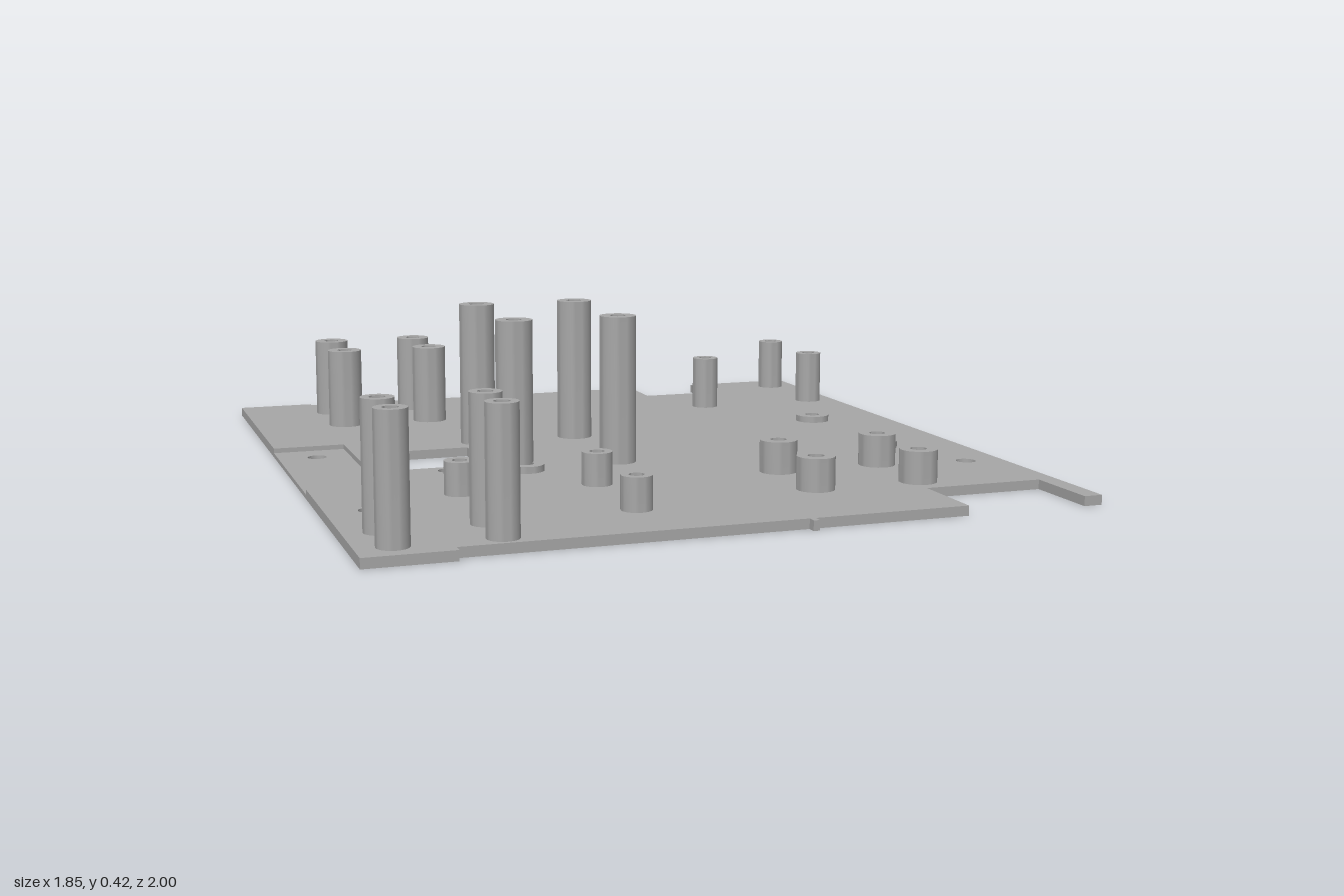
import * as THREE from 'three';
import { toCreasedNormals } from 'three/addons/utils/BufferGeometryUtils.js';

const PLATE = 0.025;   // plate thickness
const FLOOR = 0.012;   // thickness left under the recess
const grey = new THREE.MeshStandardMaterial({ color: 0xa6a6a6 });
grey.name = 'plain grey';

// Points are given as [x, z] on the plan
const plan = (pts, Type) => new Type(pts.map(([x, z]) => new THREE.Vector2(x, -z)));

function roundHole(x, z, r = 0.026) {
  const p = new THREE.Path();
  p.absarc(x, -z, r, 0, Math.PI * 2, true);
  return p;
}

function slab(shape, depth, name) {
  const g = new THREE.ExtrudeGeometry(shape, { depth, bevelEnabled: false, curveSegments: 24 });
  g.rotateX(-Math.PI / 2);
  const m = new THREE.Mesh(g, grey);
  m.name = name;
  return m;
}

// Hollow post with a blind bore ending at the plate surface
function post(x, z, r, top, name) {
  const bore = r > 0.045 ? 0.021 : 0.019;
  const profile = [[r, PLATE], [r, top], [bore, top], [bore, PLATE]]
    .map(([a, b]) => new THREE.Vector2(a, b));
  const m = new THREE.Mesh(toCreasedNormals(new THREE.LatheGeometry(profile, 32), 0.6), grey);
  m.position.set(x, 0, z);
  m.name = name;
  return m;
}

export function createModel() {
  const model = new THREE.Group();
  model.name = 'mountingPlate';

  // Base plate outline with edge notches, tabs and the recess cut from its side
  const base = plan([
    [-0.925, 1], [-0.708, 1], [-0.708, 0.973],
    [0.132, 0.973], [0.132, 0.995], [0.148, 0.995], [0.148, 0.973],
    [0.55, 0.973], [0.55, 0.765], [0.871, 0.765], [0.871, 0.973], [0.92, 0.973],
    [0.92, -0.98], [0.587, -0.98], [0.587, -0.81], [0.37, -0.81], [0.37, -0.98],
    [0.148, -0.98], [0.148, -1], [0.132, -1], [0.132, -0.98],
    [-0.708, -0.98], [-0.708, -1], [-0.925, -1],
    [-0.925, -0.285], [-0.73, -0.285], [-0.73, 0.28], [-0.925, 0.28],
  ], THREE.Shape);
  base.holes.push(
    plan([[-0.63, -0.13], [-0.41, -0.13], [-0.41, 0.12], [-0.63, 0.12]], THREE.Path),
    roundHole(-0.535, 0.165), roundHole(-0.82, 0.557), roundHole(0.817, 0.487));
  model.add(slab(base, PLATE, 'basePlate'));

  // Thin floor of the recess
  const floor = plan([[-0.925, 0.28], [-0.73, 0.28], [-0.73, -0.285], [-0.925, -0.285]], THREE.Shape);
  floor.holes.push(roundHole(-0.82, -0.19));
  model.add(slab(floor, FLOOR, 'recessFloor'));

  // Posts in rectangular sets: every x paired with every z
  const sets = [
    { name: 'backPost', xs: [-0.665, -0.409], zs: [-0.83, -0.603], r: 0.049, top: 0.25 },
    { name: 'tallPost', xs: [-0.36, -0.073], zs: [-0.2, 0.191], r: 0.049, top: 0.42 },
    { name: 'lowBoss', xs: [-0.34, 0.69], zs: [-0.218, 0.228], r: 0.049, top: 0.043 },
    { name: 'shortPost', xs: [-0.573, -0.217], zs: [0.452, 0.754], r: 0.039, top: 0.11 },
    { name: 'wideShortPost', xs: [0.282, 0.568], zs: [0.452, 0.682], r: 0.049, top: 0.11 },
    { name: 'cornerPost', xs: [-0.838, -0.59], zs: [0.78, 0.924], r: 0.039, top: 0.333 },
    { name: 'sidePost', xs: [0.835], zs: [-0.87, -0.566], r: 0.039, top: 0.18 },
    { name: 'innerSidePost', xs: [0.477], zs: [-0.566], r: 0.039, top: 0.18 },
  ];
  for (const { name, xs, zs, r, top } of sets)
    for (const x of xs) for (const z of zs) model.add(post(x, z, r, top, name));

  return model;
}
